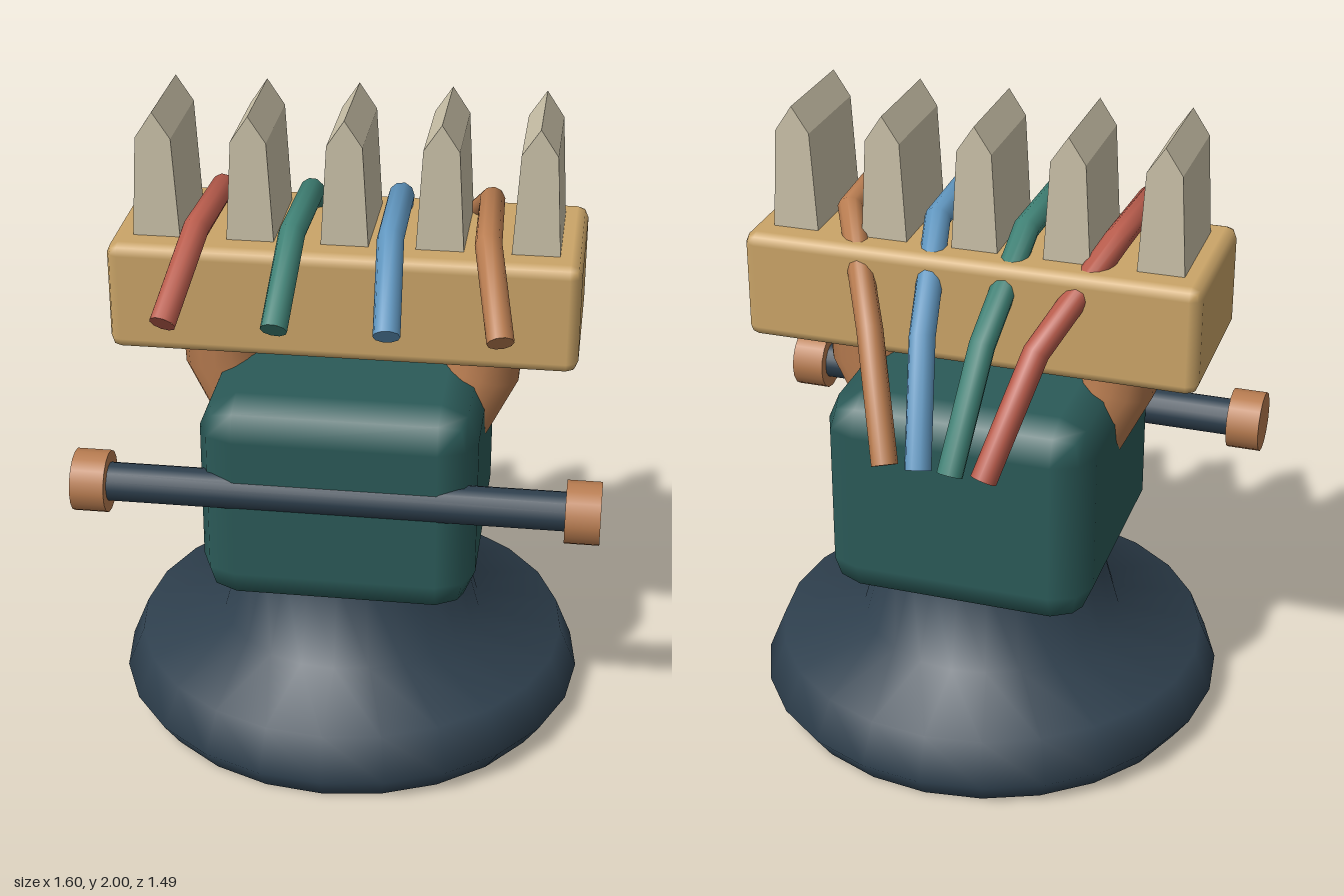
import * as THREE from 'three';
import { mergeGeometries } from 'three/addons/utils/BufferGeometryUtils.js';
import { RoundedBoxGeometry } from 'three/addons/geometries/RoundedBoxGeometry.js';

const paint = (name, color) => {
  const m = new THREE.MeshStandardMaterial({ color });
  m.name = name;
  return m;
};

// A path of straight runs whose samples fall exactly on the corners
class Polyline extends THREE.Curve {
  constructor(points) {
    super();
    this.points = points.map(p => new THREE.Vector3(...p));
  }
  getPoint(t, target = new THREE.Vector3()) {
    const last = this.points.length - 1;
    const i = Math.min(Math.floor(t * last + 1e-6), last - 1);
    return target.lerpVectors(this.points[i], this.points[i + 1], t * last - i);
  }
  getPointAt(t, target) { return this.getPoint(t, target); }
  getTangentAt(t, target = new THREE.Vector3()) {
    const p = this.points, last = p.length - 1, i = Math.round(t * last);
    const before = p[Math.max(i, 1)].clone().sub(p[Math.max(i, 1) - 1]).normalize();
    const j = Math.min(i, last - 1);
    const after = p[j + 1].clone().sub(p[j]).normalize();
    return target.copy(before).add(after).normalize();
  }
}

// Bent rod with closed ends
function rod(points, radius, sides) {
  const path = new Polyline(points);
  const tube = new THREE.TubeGeometry(path, points.length - 1, radius, sides, false);
  const caps = [0, 1].map(end => {
    const dir = path.getTangentAt(end).multiplyScalar(end ? 1 : -1);
    const at = path.getPointAt(end);
    const turn = new THREE.Quaternion().setFromUnitVectors(new THREE.Vector3(0, 0, 1), dir);
    return new THREE.CircleGeometry(radius, sides).applyQuaternion(turn).translate(at.x, at.y, at.z);
  });
  return mergeGeometries([tube, ...caps]);
}

export function createModel() {
  const model = new THREE.Group();
  model.name = 'model';
  const navy = paint('navy', 0x2e3f4d);
  const teal = paint('dark teal', 0x2b5a58);
  const tan = paint('tan', 0xcba568);
  const copper = paint('copper', 0xb87c50);
  const bone = paint('bone', 0xcbc2a9);
  const red = paint('red', 0xb95c4c);
  const green = paint('green', 0x3f8175);
  const blue = paint('blue', 0x6096bf);

  const add = (name, geometry, material, x = 0, y = 0, z = 0) => {
    const mesh = new THREE.Mesh(geometry, material);
    mesh.name = name;
    mesh.position.set(x, y, z);
    model.add(mesh);
    return mesh;
  };

  // Flared foot and neck
  const profile = [[0.69, 0], [0.745, 0.08], [0.69, 0.215], [0.42, 0.28], [0.345, 0.55]];
  add('base', new THREE.LatheGeometry(profile.map(p => new THREE.Vector2(...p)), 24), navy);
  add('baseUnderside', new THREE.CircleGeometry(0.69, 24).rotateX(Math.PI / 2), navy);

  // Body block and top beam
  add('body', new RoundedBoxGeometry(0.85, 0.685, 0.85, 1, 0.115), teal, 0, 0.833, 0);
  add('beam', new RoundedBoxGeometry(1.41, 0.34, 0.53, 1, 0.035), tan, 0, 1.443, 0);

  // Bent arms carrying the beam
  for (const side of [-1, 1]) {
    const path = [[0.418, 1.36, 0], [0.41, 1.16, 0], [0.25, 0.84, 0]].map(([x, y, z]) => [side * x, y, z]);
    add(side > 0 ? 'leftArm' : 'rightArm', rod(path, 0.118, 14), copper);
  }

  // Cross bar with end knobs
  add('crossBar', new THREE.CylinderGeometry(0.06, 0.06, 1.42, 14).rotateZ(Math.PI / 2), navy, 0, 0.883, 0.385);
  for (const side of [-1, 1]) {
    const knob = new THREE.CylinderGeometry(0.096, 0.096, 0.105, 16).rotateZ(Math.PI / 2);
    add(side > 0 ? 'leftKnob' : 'rightKnob', knob, copper, side * 0.747, 0.883, 0.385);
  }

  // Row of pointed teeth
  const outline = [[-0.073, 1.58], [0.073, 1.58], [0.053, 1.92], [0, 2], [-0.053, 1.92]];
  const toothShape = new THREE.Shape(outline.map(p => new THREE.Vector2(...p)));
  const toothGeometry = new THREE.ExtrudeGeometry(toothShape, { depth: 0.346, bevelEnabled: false });
  for (let i = -2; i <= 2; i++) add('tooth', toothGeometry, bone, i * 0.2825, 0, -0.173);

  // Strands laid over the beam, gathering towards the back
  const outer = [0.488, 0.43, 0.415, 0.255, 0.152];
  const inner = [0.163, 0.145, 0.138, 0.092, 0.049];
  const run = [[1.47, 0.48], [1.672, 0.245], [1.672, -0.1], [1.415, -0.385], [1.07, -0.563]];
  const strands = [['redStrand', red, outer, -1], ['greenStrand', green, inner, -1],
    ['blueStrand', blue, inner, 1], ['copperStrand', copper, outer, 1]];
  for (const [name, material, xs, side] of strands) {
    add(name, rod(run.map(([y, z], i) => [side * xs[i], y, z]), 0.04, 10), material);
  }

  return model;
}
